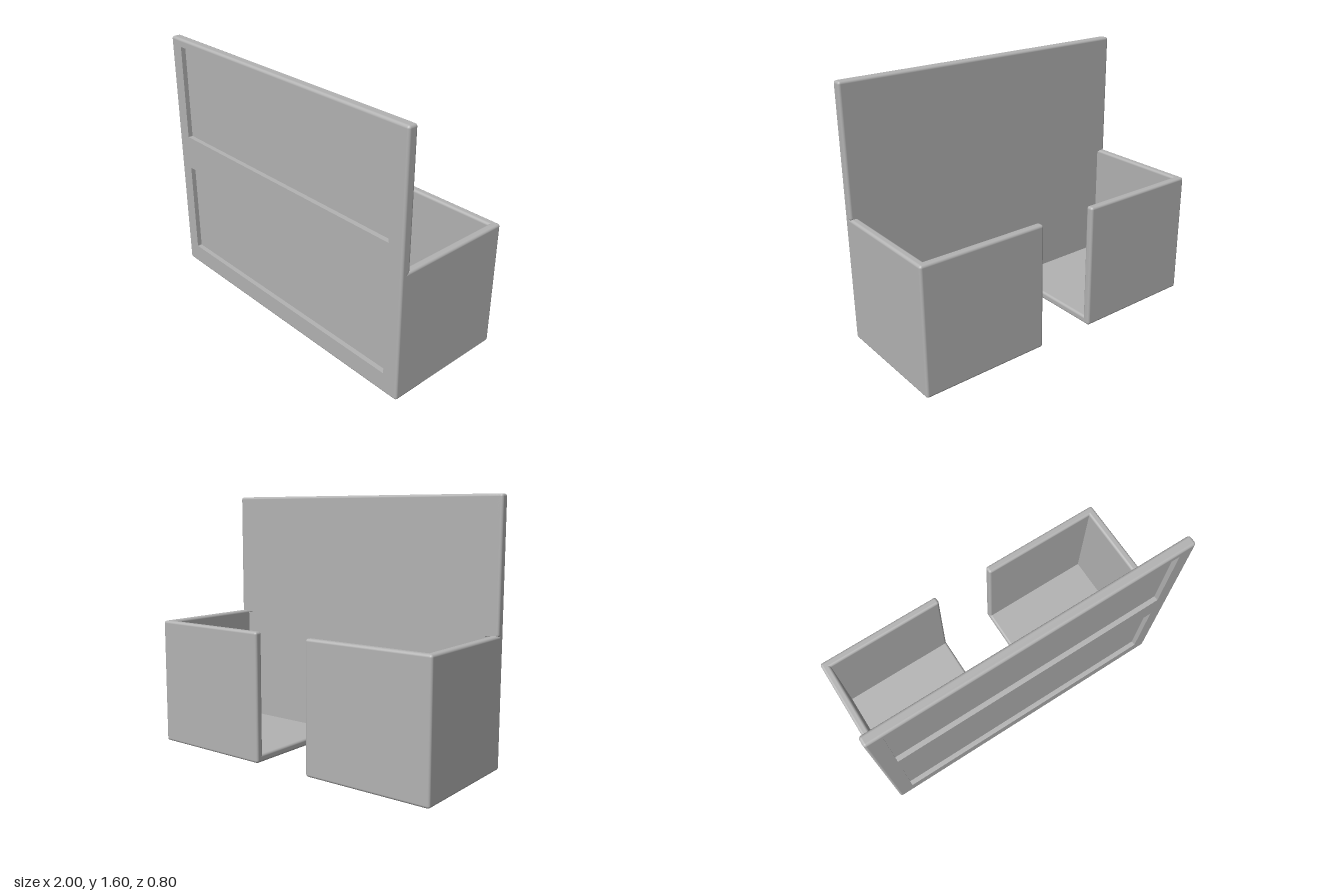
import * as THREE from 'three';
import { RoundedBoxGeometry } from 'three/addons/geometries/RoundedBoxGeometry.js';

const RADIUS = 0.016;    // softened edge
const WALL = 0.05;       // thickness of the bin walls and floor
const FRONT = 0.4;       // front face of the counter
const RECESS = 0.37;     // face of the sunken panels
const LOWER_BACK = 0.35; // back of the lower front
const UPPER_BACK = 0.337; // back of the thicker upper front

const rect = (path, x0, x1, y0, y1) => {
  path.moveTo(x0, y0);
  path.lineTo(x1, y0);
  path.lineTo(x1, y1);
  path.lineTo(x0, y1);
  path.closePath();
  return path;
};

export function createModel() {
  const model = new THREE.Group();
  model.name = 'counter';
  const grey = new THREE.MeshStandardMaterial({ color: 0xb3b3b3 });
  grey.name = 'plain grey';

  // Box given by its limits, softened or sharp
  const box = (parent, name, [x0, x1], [y0, y1], [z0, z1], soft = true) => {
    const size = [x1 - x0, y1 - y0, z1 - z0];
    const geometry = soft
      ? new RoundedBoxGeometry(...size, 3, RADIUS)
      : new THREE.BoxGeometry(...size);
    const mesh = new THREE.Mesh(geometry, grey);
    mesh.name = name;
    mesh.position.set((x0 + x1) / 2, (y0 + y1) / 2, (z0 + z1) / 2);
    parent.add(mesh);
  };

  // Front board: softened border rails and stiles
  const board = new THREE.Group();
  board.name = 'frontBoard';
  model.add(board);
  box(board, 'topRail', [-1, 1], [1.55, 1.6], [UPPER_BACK, FRONT]);
  box(board, 'bottomRail', [-1, 1], [0, 0.13], [LOWER_BACK, FRONT]);
  for (const side of [-1, 1]) {
    const span = side < 0 ? [-1, -0.9] : [0.9, 1];
    box(board, 'upperStile', span, [0.79, 1.6], [UPPER_BACK, FRONT]);
    box(board, 'lowerStile', span, [0, 0.83], [LOWER_BACK, FRONT]);
  }

  // Crisp frame face with the two panel openings
  const e = 1 - RADIUS;
  const face = rect(new THREE.Shape(), -e, e, RADIUS, 1.6 - RADIUS);
  for (const [y0, y1] of [[0.13, 0.73], [0.95, 1.55]]) {
    face.holes.push(rect(new THREE.Path(), -0.9, 0.9, y0, y1));
  }
  const frame = new THREE.Mesh(
    new THREE.ExtrudeGeometry(face, { depth: FRONT - RECESS, bevelEnabled: false }), grey);
  frame.name = 'panelFrame';
  frame.position.z = RECESS;
  board.add(frame);

  // Sunken panels, the upper one thicker at the back
  box(board, 'upperPanel', [-e, e], [0.795, 1.6 - RADIUS], [UPPER_BACK, RECESS], false);
  box(board, 'lowerPanel', [-e, e], [RADIUS, 0.8], [LOWER_BACK, RECESS], false);

  // Two open bins behind the board, mirrored about the gap
  for (const side of [-1, 1]) {
    const bin = new THREE.Group();
    bin.name = side < 0 ? 'rightBin' : 'leftBin';
    model.add(bin);
    const span = (a, b) => (side < 0 ? [-b, -a] : [a, b]);
    box(bin, 'outerWall', span(1 - WALL, 1), [0, 0.8], [-0.4, FRONT]);
    box(bin, 'backWall', span(0.185, 1), [0, 0.8], [-0.4, -0.4 + WALL]);
    box(bin, 'floor', span(0.185, 1), [0, WALL], [-0.4, FRONT]);
  }
  return model;
}
